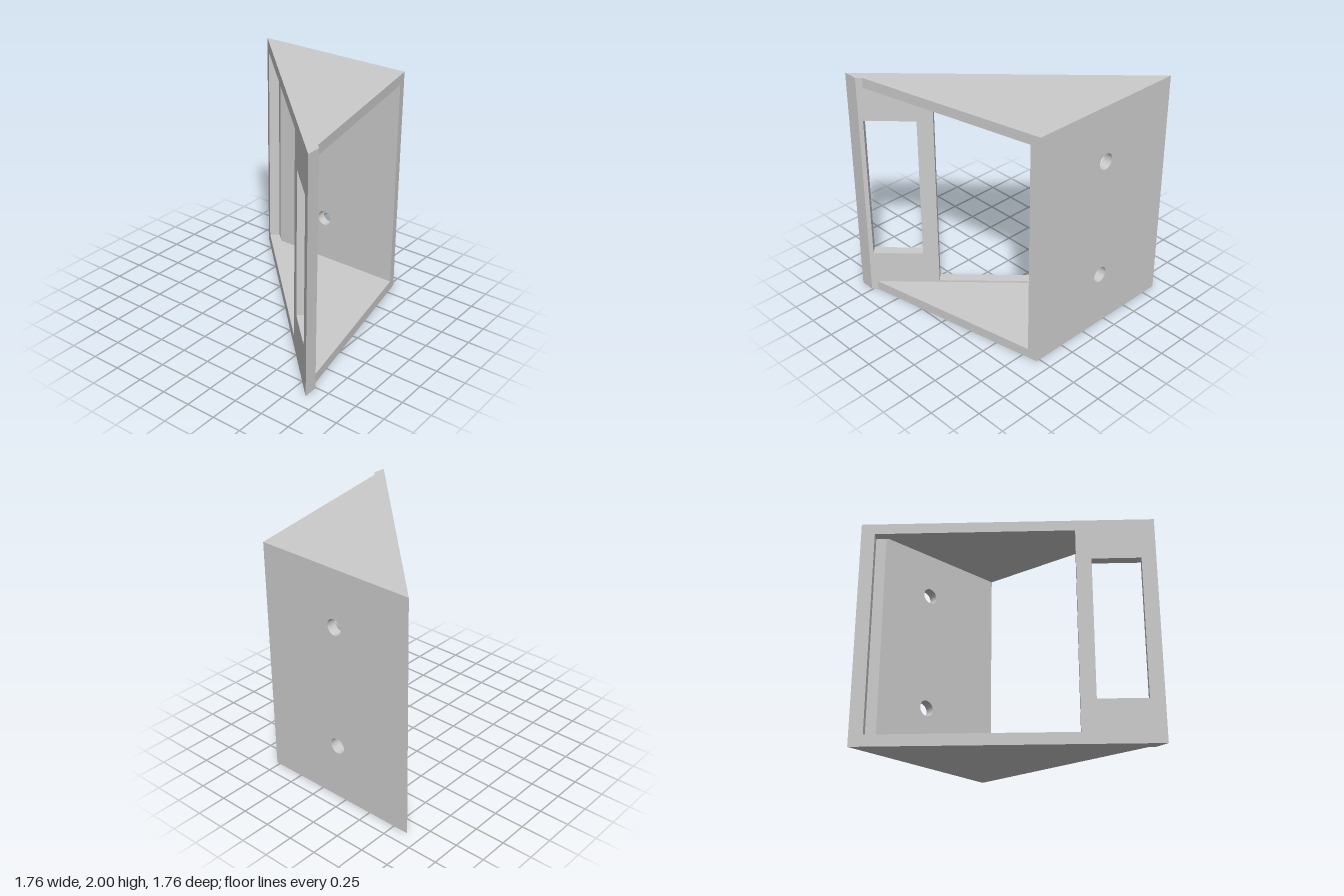
import * as THREE from 'three';
import { toCreasedNormals } from 'three/addons/utils/BufferGeometryUtils.js';

const H = 2;            // overall height
const E = 0.8825;       // half extent in x and z
const T = 0.088;        // wall thickness
const BACK = -0.8;      // inner face of the back wall
const R2 = Math.SQRT2;

const material = new THREE.MeshStandardMaterial({ color: 0xcccccc });

function outline(points, Type = THREE.Shape) {
  return new Type(points.map(([x, y]) => new THREE.Vector2(x, y)));
}

function rect(x0, x1, y0, y1, Type) {
  return outline([[x0, y0], [x1, y0], [x1, y1], [x0, y1]], Type);
}

// Extrudes a shape along z, optionally moving vertices by a rule v => void
function panel(name, shape, depth, rule) {
  const geometry = new THREE.ExtrudeGeometry(shape, { depth, bevelEnabled: false, curveSegments: 40 });
  if (rule) {
    const pos = geometry.attributes.position;
    const v = new THREE.Vector3();
    for (let i = 0; i < pos.count; i++) {
      v.fromBufferAttribute(pos, i);
      rule(v);
      pos.setXYZ(i, v.x, v.y, v.z);
    }
  }
  const mesh = new THREE.Mesh(toCreasedNormals(geometry, 0.6), material);
  mesh.name = name;
  return mesh;
}

export function createModel() {
  const group = new THREE.Group();
  group.name = 'wedgeHousing';

  // Diagonal front panel: large window, narrow slot, mitred ends
  const half = E * R2;
  const front = rect(-half, half, 0, H);
  front.holes.push(
    rect(-0.8 * R2, 0.408 * R2, 0.1, 1.905, THREE.Path),
    rect(0.5 * R2, 0.795 * R2, 0.375, 1.63, THREE.Path),
  );
  const frontPanel = panel('frontPanel', front, T, (v) => {
    if (v.z < T / 2 && Math.abs(v.x) > half - 0.01) v.x -= Math.sign(v.x) * T;
    v.z -= T;
  });
  frontPanel.rotation.y = -Math.PI / 4;
  group.add(frontPanel);

  // Back wall with two screw holes; both ends follow the sloping sides
  const left = -E + T * R2;
  const right = 0.53;
  const depth = BACK + E;
  const back = rect(left, right, 0, H);
  for (const y of [0.48, 1.525]) {
    back.holes.push(new THREE.Path().absarc(-0.175, y, 0.067, 0, Math.PI * 2, true));
  }
  const backWall = panel('backWall', back, depth, (v) => {
    if (v.z > depth / 2) {
      if (v.x < left + 0.01) v.x += depth;
      if (v.x > right - 0.01) v.x += 0.0165;
    }
    v.z -= E;
  });
  group.add(backWall);

  // Triangular floor and roof between the walls; the right side stays open
  const plan = outline([
    [left + depth, -BACK],
    [right + 0.0165, -BACK],
    [0.845, -(0.845 - T * R2)],
  ]);
  for (const [name, y] of [['floorPlate', 0], ['roofPlate', H - 0.083]]) {
    const plate = panel(name, plan, 0.083);
    plate.rotation.x = -Math.PI / 2;
    plate.position.y = y;
    group.add(plate);
  }

  return group;
}
